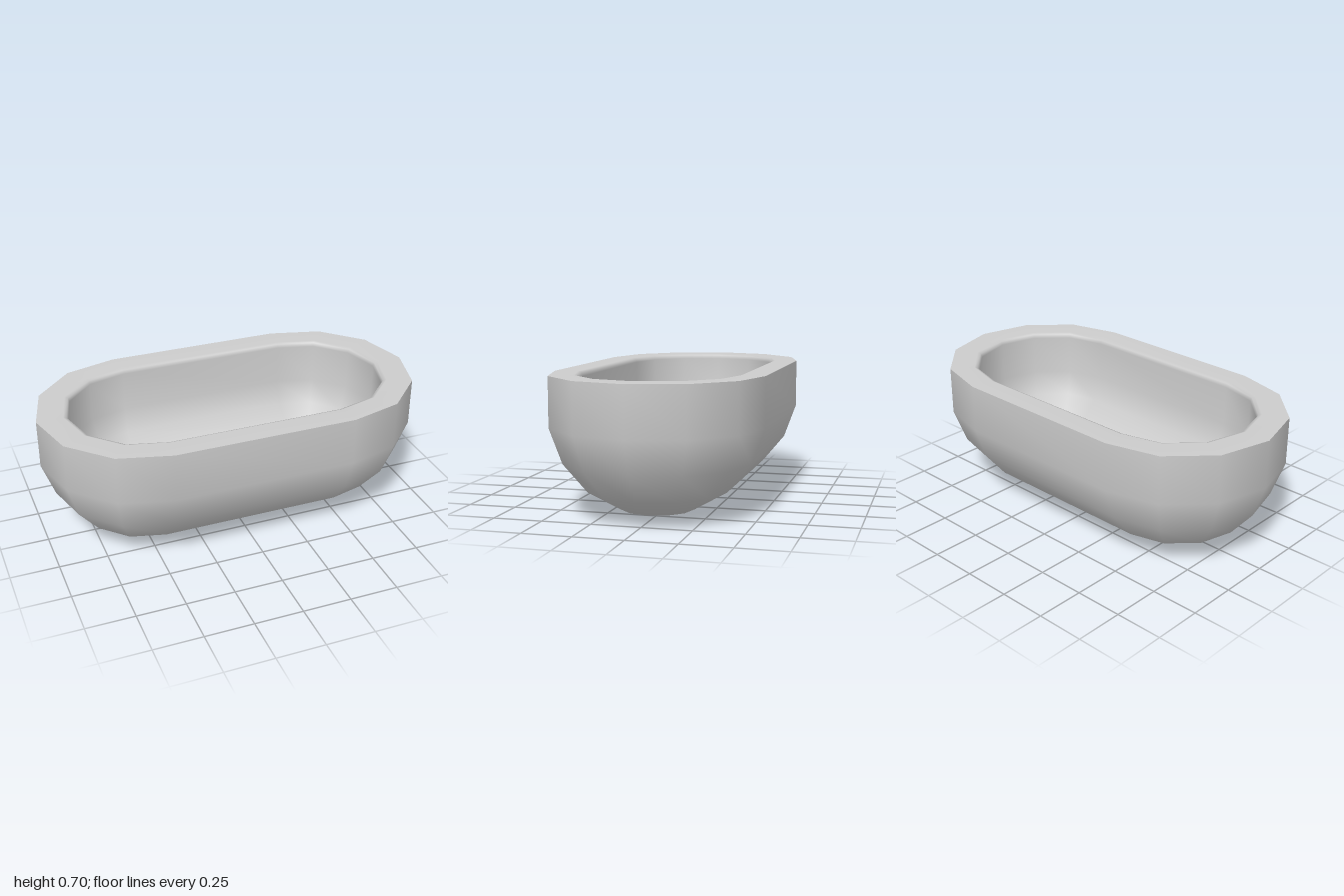
import * as THREE from 'three';
import { mergeVertices } from 'three/addons/utils/BufferGeometryUtils.js';

// Stadium-shaped ring: two six-sided half circles joined by straight sides
function ring([r, y, c]) {
  const points = [];
  for (const side of [1, -1]) {
    for (let k = -3; k <= 3; k++) {
      const a = k * Math.PI / 6 + (side < 0 ? Math.PI : 0);
      points.push(side * c + r * Math.cos(a), y, r * Math.sin(a));
    }
  }
  return points;
}

// Smooth skin through rings listed as [radius, height, end centre]
function loft(profile) {
  const n = 14;
  const positions = profile.flatMap(ring);
  const index = [];
  for (let j = 0; j < profile.length - 1; j++) {
    for (let i = 0; i < n; i++) {
      const a = j * n + i, b = j * n + (i + 1) % n;
      index.push(a, a + n, b + n, a, b + n, b);
    }
  }
  let geometry = new THREE.BufferGeometry();
  geometry.setAttribute('position', new THREE.Float32BufferAttribute(positions, 3));
  geometry.setIndex(index);
  geometry = mergeVertices(geometry, 1e-4);
  geometry.computeVertexNormals();
  return geometry;
}

export function createModel() {
  const group = new THREE.Group();
  const enamel = new THREE.MeshStandardMaterial({ color: 0xcccccc });
  enamel.name = 'greyEnamel';

  const add = (name, geometry) => {
    const mesh = new THREE.Mesh(geometry, enamel);
    mesh.name = name;
    group.add(mesh);
    return mesh;
  };

  // Rounded outside of the tub, from the keel up to the rim
  const c = 0.466;
  add('outerShell', loft([
    [0, 0, c], [0.185, 0.035, c], [0.35, 0.129, c],
    [0.47, 0.274, c], [0.534, 0.45, c], [0.534, 0.7, c],
  ]));

  // Flat rim rolling over into the basin
  const d = 0.447;
  add('rimAndBasin', loft([
    [0.534, 0.7, c], [0.415, 0.7, 0.45], [0.4, 0.694, d], [0.393, 0.675, d],
    [0.393, 0.465, d], [0.346, 0.34, d], [0.255, 0.235, d],
    [0.137, 0.17, d], [0, 0.145, d],
  ]));

  // Eight-sided drain ring with a sunken plug
  const section = [[0.05, 0.13], [0.05, 0.162], [0.042, 0.168], [0.032, 0.164], [0.027, 0.156], [0, 0.156]];
  const drain = new THREE.LatheGeometry(section.map(([x, y]) => new THREE.Vector2(x, y)), 8).toNonIndexed();
  drain.computeVertexNormals();
  add('drain', drain).position.x = -0.466;

  return group;
}
